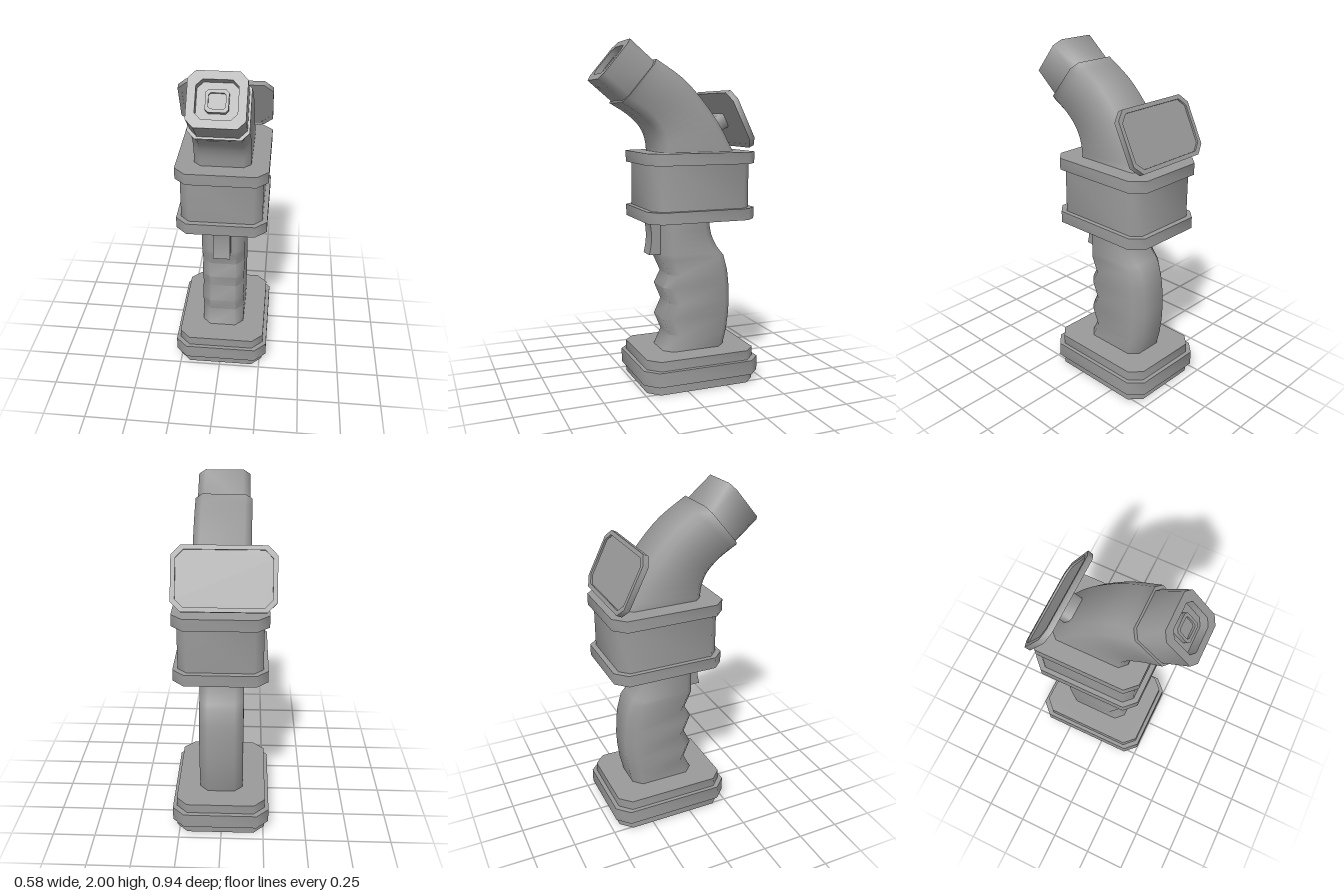
import * as THREE from 'three';
import { toCreasedNormals } from 'three/addons/utils/BufferGeometryUtils.js';

const CX = 0.005;      // centre line of the body
const CREASE = 1.05;   // cut corners and grip ripples stay smooth
const material = new THREE.MeshStandardMaterial({ color: 0x999999 });

function mesh(name, geometry) {
  const m = new THREE.Mesh(toCreasedNormals(geometry, CREASE), material);
  m.name = name;
  return m;
}

// Rectangle with cut corners; w and h are half sizes
function octagon(w, h, c, Type = THREE.Shape) {
  return new Type([
    [w - c, -h], [w, c - h], [w, h - c], [w - c, h],
    [c - w, h], [-w, h - c], [-w, c - h], [c - w, -h],
  ].map(([x, y]) => new THREE.Vector2(x, y)));
}

// Cut-corner block from z0 to z1, with an optional hole [w, h, c]
function block(name, w, h, c, z0, z1, hole) {
  const shape = octagon(w, h, c);
  if (hole) shape.holes.push(octagon(...hole, THREE.Path));
  const g = new THREE.ExtrudeGeometry(shape, { depth: z1 - z0, bevelEnabled: false });
  return mesh(name, g.translate(0, 0, z0));
}

// Horizontal slab between heights y0 and y1
function slab(name, w, d, c, y0, y1, z) {
  const m = block(name, w, d, c, y0, y1);
  m.rotation.x = -Math.PI / 2;
  m.position.set(CX, 0, z);
  return m;
}

// Skin over cut-corner sections, each spanning a front and a back point [z, y]
function loft(name, fronts, backs, w, c) {
  const pos = [], index = [], n = fronts.length;
  fronts.forEach(([fz, fy], s) => {
    const [bz, by] = backs[s];
    const k = c / Math.hypot(fz - bz, fy - by);
    const ring = [[w - c, 1], [w, 1 - k], [w, k], [w - c, 0],
      [c - w, 0], [-w, k], [-w, 1 - k], [c - w, 1]];
    for (const [x, t] of ring) pos.push(x + CX, by + (fy - by) * t, bz + (fz - bz) * t);
  });
  for (let s = 0; s < n - 1; s++) {
    for (let i = 0; i < 8; i++) {
      const a = s * 8 + i, b = s * 8 + (i + 1) % 8;
      index.push(a, b, b + 8, a, b + 8, a + 8);
    }
  }
  const top = (n - 1) * 8;
  for (let i = 1; i < 7; i++) index.push(0, i + 1, i, top, top + i, top + i + 1);
  const g = new THREE.BufferGeometry();
  g.setAttribute('position', new THREE.Float32BufferAttribute(pos, 3));
  g.setIndex(index);
  return mesh(name, g);
}

// Smooth list of [z, y] points through the given ones
function smooth(points, count) {
  const curve = new THREE.CatmullRomCurve3(points.map(([z, y]) => new THREE.Vector3(0, y, z)));
  return curve.getPoints(count).map((p) => [p.z, p.y]);
}

// Rows of [height, front z, back z]; the front ripples for the fingers
function makeGrip() {
  const rows = [
    [0.19, 0.09, -0.304], [0.29, 0.043, -0.328], [0.39, 0.085, -0.341], [0.48, 0.043, -0.345],
    [0.58, 0.085, -0.34], [0.655, 0.047, -0.331], [0.75, 0.09, -0.305], [0.78, 0.09, -0.28],
    [0.81, 0.09, -0.257], [0.845, 0.09, -0.238], [0.885, 0.09, -0.222], [0.93, 0.09, -0.213],
    [0.99, 0.09, -0.21],
  ];
  return loft('grip', rows.map(([y, f]) => [f, y]), rows.map(([y, , b]) => [b, y]), 0.129, 0.05);
}

function makeTrigger() {
  const s = new THREE.Shape();
  s.moveTo(0.07, 0.777);
  s.lineTo(0.16, 0.777);
  s.quadraticCurveTo(0.13, 0.883, 0.16, 0.99);
  s.lineTo(0.07, 0.99);
  const g = new THREE.ExtrudeGeometry(s, { depth: 0.1, bevelEnabled: false, curveSegments: 8 });
  const m = mesh('trigger', g.translate(0, 0, -0.05));
  m.rotation.y = -Math.PI / 2;
  m.position.x = CX;
  return m;
}

function makeNeck() {
  const front = [[0.116, 1.37], [0.127, 1.45], [0.16, 1.52], [0.233, 1.59], [0.34, 1.655]];
  const back = [[-0.343, 1.37], [-0.245, 1.54], [-0.135, 1.68], [-0.02, 1.793], [0.137, 1.894]];
  return loft('neck', smooth(front, 12), smooth(back, 12), 0.16, 0.04);
}

// Tilted nozzle with a recessed mouth and a small raised emitter
function makeNozzle() {
  const g = new THREE.Group();
  g.name = 'nozzle';
  g.add(
    block('nozzleShell', 0.148, 0.143, 0.04, -0.23, 0, [0.105, 0.1, 0.032]),
    block('mouthFloor', 0.107, 0.102, 0.032, -0.22, -0.05),
    block('emitterBase', 0.058, 0.058, 0.015, -0.055, -0.035),
    block('emitterRim', 0.058, 0.058, 0.015, -0.035, -0.022, [0.043, 0.04, 0.01]),
  );
  g.position.set(CX, 1.89, 0.378);
  g.rotation.x = -THREE.MathUtils.degToRad(40);
  return g;
}

// Display plate on a short stem, leaning toward the back
function makeDisplay() {
  const g = new THREE.Group();
  g.name = 'display';
  g.add(
    block('displayFrame', 0.278, 0.174, 0.052, -0.0165, 0.0165, [0.254, 0.15, 0.043]),
    block('displayPanel', 0.256, 0.152, 0.043, -0.016, 0.005),
    block('displayStem', 0.075, 0.045, 0.015, -0.15, -0.015),
  );
  g.position.set(-0.013, 1.563, -0.3375);
  g.rotation.x = -THREE.MathUtils.degToRad(153.6);
  return g;
}

export function createModel() {
  const model = new THREE.Group();
  model.name = 'handheldScanner';
  model.add(
    // Foot
    slab('footBottom', 0.262, 0.337, 0.065, 0, 0.055, -0.108),
    slab('footBand', 0.285, 0.361, 0.07, 0.055, 0.14, -0.109),
    slab('footTop', 0.262, 0.337, 0.065, 0.14, 0.197, -0.108),
    // Handle
    makeGrip(),
    makeTrigger(),
    // Housing between two flanges
    slab('lowerFlange', 0.262, 0.33, 0.065, 0.985, 1.052, -0.111),
    slab('housing', 0.235, 0.299, 0.05, 1.052, 1.31, -0.111),
    slab('upperFlange', 0.262, 0.33, 0.065, 1.31, 1.377, -0.111),
    // Head
    makeNeck(),
    makeNozzle(),
    makeDisplay(),
  );
  return model;
}
